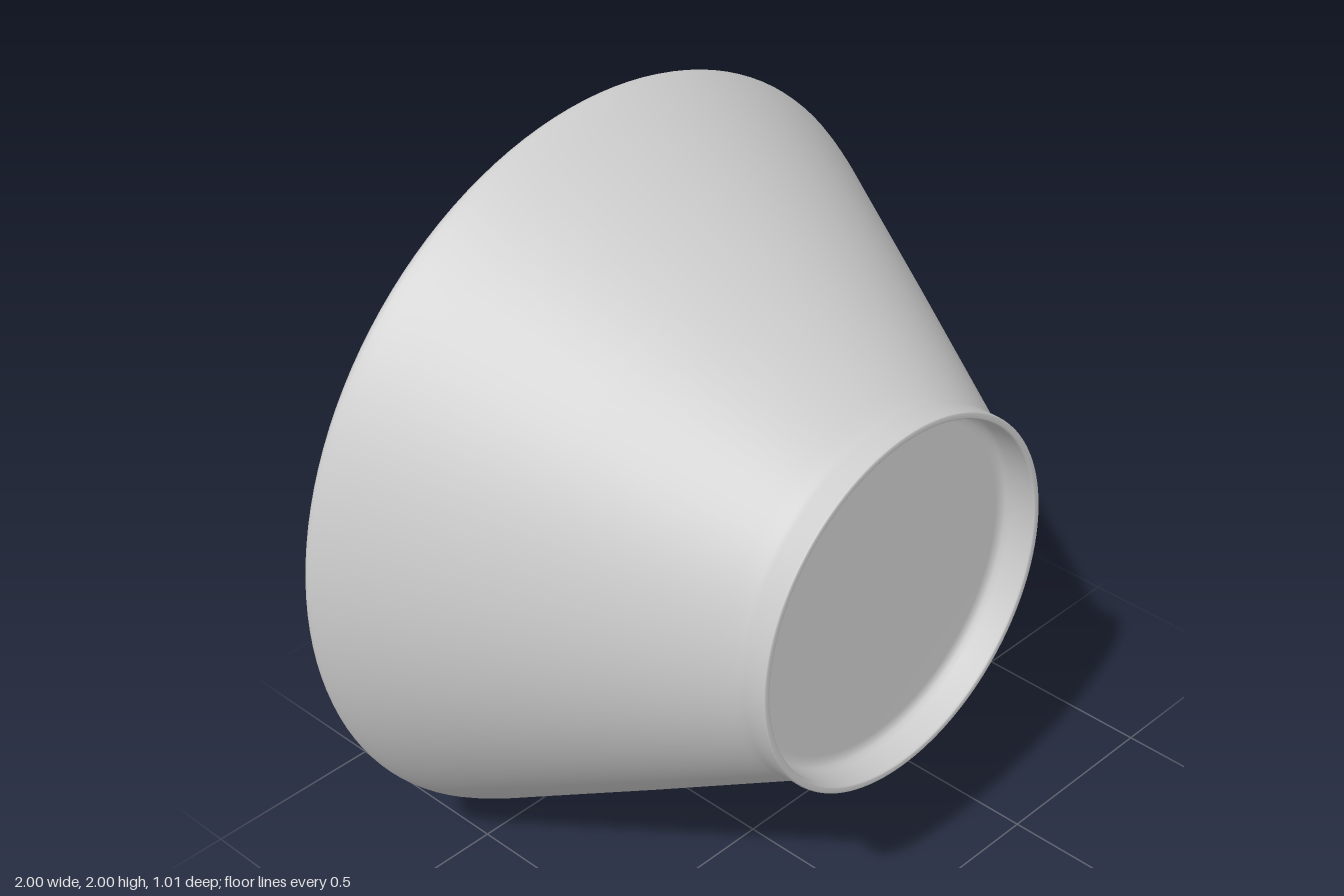
import * as THREE from 'three';

// Turned bowl lying on its side: foot towards +z, mouth towards -z.
export function createModel() {
  const group = new THREE.Group();
  group.name = 'bowl';

  // Closed profile (radius, height), from the foot recess round to the inner floor.
  const profile = [
    // recess under the foot, with a soft inner corner
    [0, -0.41], [0.44, -0.41], [0.456, -0.412], [0.467, -0.419], [0.473, -0.432],
    // foot ring
    [0.475, -0.498], [0.477, -0.502], [0.48, -0.504], [0.491, -0.504], [0.494, -0.502], [0.495, -0.498],
    [0.495, -0.44], [0.497, -0.425], [0.503, -0.41],
    // outer wall
    [0.52, -0.38], [0.74, 0.01], [0.94, 0.37], [0.968, 0.42], [0.988, 0.46],
    // rounded lip
    [0.998, 0.484], [1.0, 0.494], [0.997, 0.501], [0.99, 0.504], [0.982, 0.502], [0.975, 0.495],
    // inner wall, thickening towards the base
    [0.962, 0.475], [0.88, 0.371], [0.67, 0.105], [0.5, -0.106],
    // floor with a soft corner
    [0.455, -0.16], [0.425, -0.191], [0.395, -0.214], [0.365, -0.226], [0.335, -0.23], [0, -0.23],
  ].map(([r, h]) => new THREE.Vector2(r, h));

  const body = new THREE.Mesh(
    new THREE.LatheGeometry(profile, 128),
    new THREE.MeshStandardMaterial({ color: 0xcccccc })
  );
  body.name = 'bowlBody';
  body.rotation.x = -Math.PI / 2;
  body.position.y = 1;
  group.add(body);
  return group;
}
